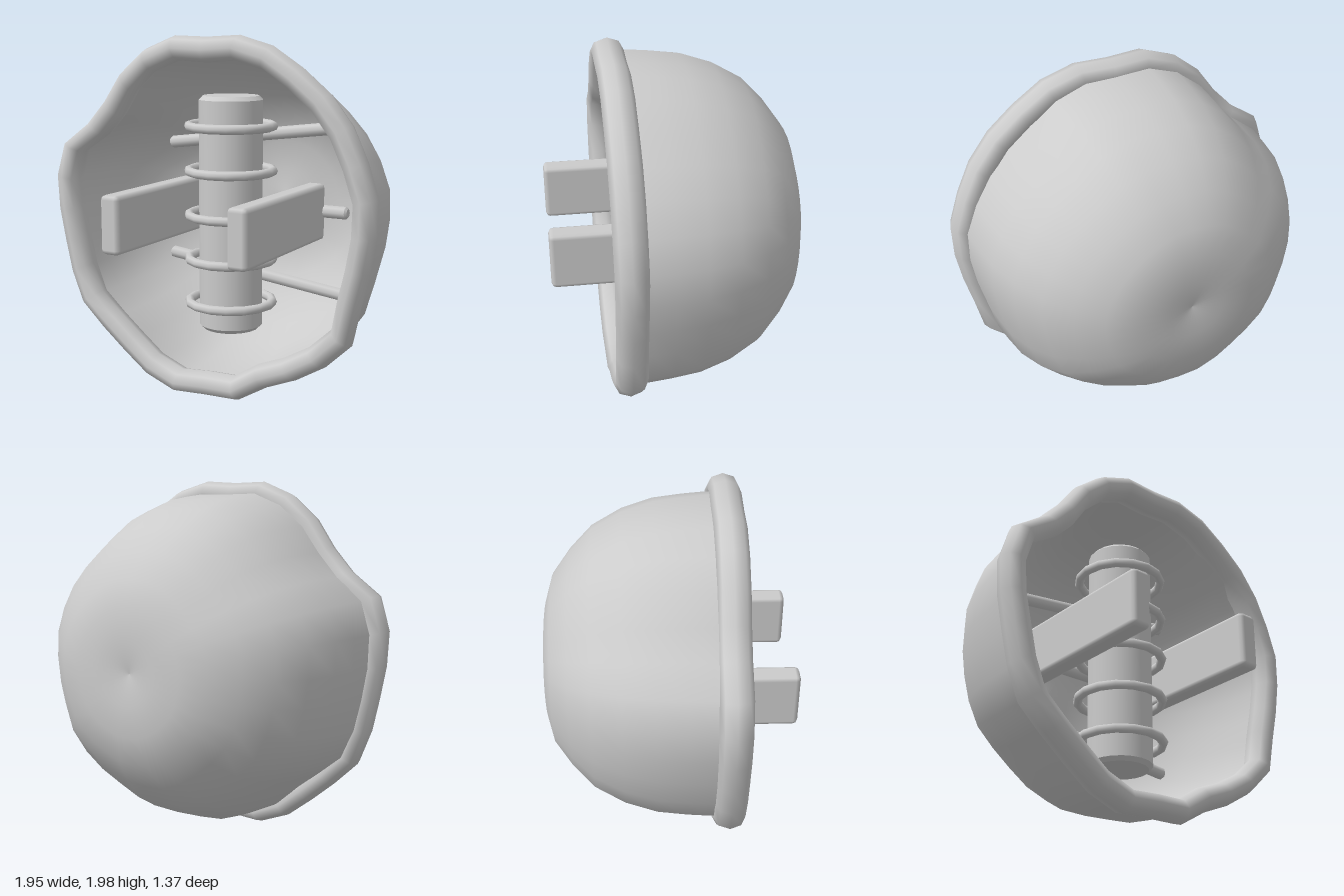
import * as THREE from 'three';
import { RoundedBoxGeometry } from 'three/addons/geometries/RoundedBoxGeometry.js';

const CENTRE_Y = 1;
const SIDES = 32;

// Outer radius of the uneven rim, counter-clockwise from +x
const OUTLINE = [
  0.968, 0.99, 0.985, 0.995, 1.0, 1.0, 1.015, 1.01,
  0.98, 1.005, 0.99, 0.95, 0.9, 0.91, 1.0, 1.0,
  0.97, 0.952, 0.965, 0.985, 0.96, 0.96, 0.99, 1.005,
  0.976, 0.99, 0.945, 0.965, 0.995, 1.02, 0.965, 0.955,
];

// Dome profile from the opening to the dimpled back: [radius, z]
const PROFILE = [
  [0.93, 0.3], [0.93, 0.2], [0.92, 0.08], [0.9, -0.08], [0.845, -0.25], [0.755, -0.41],
  [0.63, -0.53], [0.49, -0.63], [0.34, -0.672], [0.17, -0.683], [0, -0.65],
];

const material = () => new THREE.MeshStandardMaterial({ color: 0xcccccc });

function addMesh(group, name, geometry, x = 0, y = 0, z = 0) {
  const mesh = new THREE.Mesh(geometry, material());
  mesh.name = name;
  mesh.position.set(x, y, z);
  group.add(mesh);
  return mesh;
}

// Skin over rings of SIDES points; point(i, j) gives [x, y, z]
function skin(rings, wrap, point) {
  const positions = [], index = [];
  for (let i = 0; i < rings; i++)
    for (let j = 0; j < SIDES; j++) positions.push(...point(i, j));
  for (let i = 0; i < (wrap ? rings : rings - 1); i++) {
    for (let j = 0; j < SIDES; j++) {
      const next = (i + 1) % rings, k = (j + 1) % SIDES;
      const a = i * SIDES + j, b = i * SIDES + k;
      const c = next * SIDES + k, d = next * SIDES + j;
      index.push(a, d, b, b, d, c);
    }
  }
  const geometry = new THREE.BufferGeometry();
  geometry.setAttribute('position', new THREE.Float32BufferAttribute(positions, 3));
  geometry.setIndex(index);
  geometry.computeVertexNormals();
  return geometry;
}

function polar(radius, j, z) {
  const angle = (j / SIDES) * Math.PI * 2;
  return [radius * Math.cos(angle), radius * Math.sin(angle), z];
}

// Hollow where the dome falls short of the rim
function dip(j) {
  const bump = (at, width) => Math.exp(-(((j - at) / width) ** 2));
  return 0.07 * bump(4.3, 2) + 0.04 * bump(20.8, 1.6);
}

// Bar with chamfered ends, standing along y
function chamferedBar(radius, length, bevel, sides) {
  const h = length / 2;
  const points = [
    [0, -h], [radius - bevel, -h], [radius - bevel, -h], [radius, -h + bevel], [radius, -h + bevel],
    [radius, h - bevel], [radius, h - bevel], [radius - bevel, h], [radius - bevel, h], [0, h],
  ].map(([x, y]) => new THREE.Vector2(x, y));
  return new THREE.LatheGeometry(points, sides);
}

export function createModel() {
  const model = new THREE.Group();
  model.name = 'hollowDome';

  // Dome shell, rounder towards the back
  const shell = skin(PROFILE.length, false, (i, j) => {
    const [radius, z] = PROFILE[i];
    const depth = i / (PROFILE.length - 1);
    const wobble = THREE.MathUtils.lerp(OUTLINE[j] - dip(j), 0.985, depth);
    return polar((radius * wobble) / 0.995, j, z);
  });
  addMesh(model, 'domeShell', shell, 0, CENTRE_Y).material.side = THREE.DoubleSide;

  // Uneven tubular rim around the opening
  const rim = skin(8, true, (i, j) => {
    const t = (i / 8) * Math.PI * 2;
    return polar(OUTLINE[j] - 0.067 + 0.067 * Math.cos(t), j, 0.305 - 0.085 * Math.sin(t));
  });
  addMesh(model, 'rim', rim, 0, CENTRE_Y);

  // Upright core with five rings
  const coreZ = 0.05;
  addMesh(model, 'core', chamferedBar(0.178, 1.31, 0.022, 20), 0, 1.005, coreZ);
  for (let i = -2; i <= 2; i++) {
    const ring = new THREE.TorusGeometry(0.235, 0.026, 8, 16).rotateX(Math.PI / 2);
    addMesh(model, 'coreRing', ring, 0, 0.997 + i * 0.248, coreZ);
  }

  // Cross rods behind the core
  for (const [y, tilt] of [[1.415, 0.125], [1.005, 0], [0.6, -0.12]]) {
    const rod = addMesh(model, 'crossRod', chamferedBar(0.036, 1.16, 0.012, 8), 0, y, -0.25);
    rod.rotation.z = tilt - Math.PI / 2;
  }

  // Pair of long plates reaching out through the opening
  for (const side of [1, -1]) {
    const plate = new RoundedBoxGeometry(0.115, 0.32, 0.95, 1, 0.026);
    addMesh(model, side > 0 ? 'leftPlate' : 'rightPlate', plate, side * 0.38, 1.003, 0.21);
  }
  return model;
}
